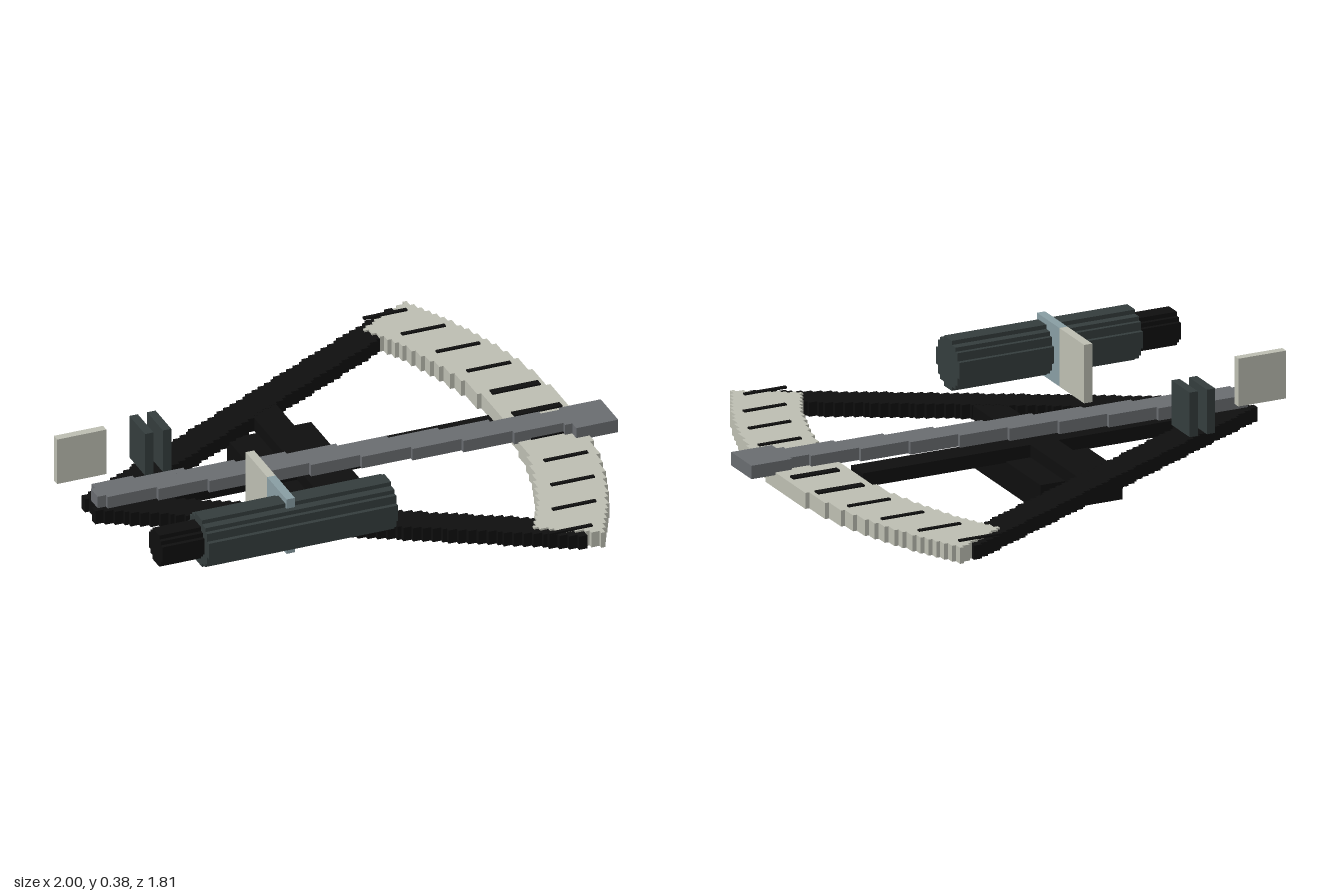
import * as THREE from 'three';
import { mergeGeometries } from 'three/addons/utils/BufferGeometryUtils.js';

const STEP = 1 / 64; // stair-step size of the blocky parts

function material(name, color) {
  const m = new THREE.MeshStandardMaterial({ color });
  m.name = name;
  return m;
}

// Box geometry from min/max extents
function boxGeo(x0, x1, y0, y1, z0, z1) {
  return new THREE.BoxGeometry(x1 - x0, y1 - y0, z1 - z0)
    .translate((x0 + x1) / 2, (y0 + y1) / 2, (z0 + z1) / 2);
}

// Scan a 2D region on the step grid and return one run per row
function rowRuns(inside, u0, u1, v0, v1) {
  const runs = [];
  for (let j = Math.floor(v0 / STEP); j < Math.ceil(v1 / STEP); j++) {
    let start = null;
    const end = Math.ceil(u1 / STEP);
    for (let i = Math.floor(u0 / STEP); i <= end; i++) {
      const hit = i < end && inside((i + 0.5) * STEP, (j + 0.5) * STEP);
      if (hit && start === null) start = i;
      if (!hit && start !== null) {
        runs.push({ u0: start * STEP, u1: i * STEP, v0: j * STEP, v1: (j + 1) * STEP });
        start = null;
      }
    }
  }
  return runs;
}

// Flat stepped plate lying in the xz plane
function steppedPlate(inside, y0, y1) {
  return mergeGeometries(rowRuns(inside, -1, 1, -0.95, 0.95)
    .map(r => boxGeo(r.u0, r.u1, y0, y1, r.v0, r.v1)));
}

// Stepped round bar along x
function steppedBar(radius, x0, x1, y, z) {
  const runs = rowRuns((u, v) => Math.hypot(u, v) < radius, -radius, radius, -radius, radius);
  return mergeGeometries(runs.map(r => boxGeo(x0, x1, r.v0, r.v1, r.u0, r.u1))).translate(0, y, z);
}

// Region test for a straight strip starting at the pivot
const PIVOT = -0.9;
function strip(angle, length, width) {
  const c = Math.cos(angle), s = Math.sin(angle);
  return (x, z) => {
    const along = (x - PIVOT) * c + z * s;
    const across = z * c - (x - PIVOT) * s;
    return along >= 0 && along <= length && Math.abs(across) <= width / 2;
  };
}

export function createModel() {
  const group = new THREE.Group();
  group.name = 'sextant';
  const black = material('black', 0x0f0f0f);
  const slate = material('dark slate', 0x353e3e);
  const grey = material('mid grey', 0x6b6e72);
  const ivory = material('ivory', 0xc0c1b5);
  const glass = material('pale blue glass', 0x8ba0a6);

  function add(name, geometry, mat) {
    const mesh = new THREE.Mesh(geometry, mat);
    mesh.name = name;
    group.add(mesh);
  }
  const box = (name, mat, ...e) => add(name, boxGeo(...e), mat);

  // Graduated arc centred on the pivot
  const deg = Math.PI / 180;
  const inArc = (x, z) => {
    const r = Math.hypot(x - PIVOT, z);
    return r > 1.56 && r < 1.805 && Math.abs(Math.atan2(z, x - PIVOT)) < 30 * deg;
  };
  add('graduatedArc', steppedPlate(inArc, 0.1, 0.16), ivory);

  // Scale marks every six degrees, bolder near the middle
  for (let a = -30; a <= 30; a += 6) {
    const x = PIVOT + 1.69 * Math.cos(a * deg), z = 1.69 * Math.sin(a * deg);
    const half = Math.abs(a) <= 6 ? 0.0145 : 0.0075;
    const reach = Math.abs(a) <= 6 ? 0.092 : 0.083;
    box('scaleMark', black, x - reach, x + reach, 0.159, 0.166, z - half, z + half);
  }

  // Frame: two slanted limbs, centre bar, cross brace
  for (const side of [1, -1]) {
    const limb = strip(side * 29 * deg, 1.75, 0.115);
    add(side > 0 ? 'frontLimb' : 'backLimb',
      steppedPlate((x, z) => limb(x, z) && !inArc(x, z), 0.1, 0.153), black);
  }
  box('centreBar', black, -0.9, 0.625, 0.1, 0.152, -0.047, 0.047);
  box('crossBrace', black, -0.145, -0.035, 0.1, 0.152, -0.47, 0.47);

  // Handle block underneath
  box('handle', black, -0.26, 0.062, 0, 0.105, -0.32, 0.32);

  // Swinging index arm with its end clamp
  add('indexArm', steppedPlate(strip(4.75 * deg, 1.76, 0.105), 0.154, 0.2), grey);
  box('armClamp', grey, 0.84, 1, 0.15, 0.2, 0.08, 0.24);

  // Telescope
  add('telescopeTube', steppedBar(0.0938, -0.74, -0.018, 0.26, 0.57), slate);
  add('eyepiece', steppedBar(0.0625, -0.9, -0.74, 0.26, 0.562), black);

  // Horizon mirror: silvered half and clear half
  box('horizonMirrorSilvered', ivory, -0.422, -0.39, 0.156, 0.375, 0.24, 0.436);
  box('horizonMirrorClear', glass, -0.422, -0.39, 0.156, 0.375, 0.436, 0.612);

  // Index mirror and sun shades
  box('indexMirror', ivory, -1, -0.812, 0.196, 0.375, -0.13, -0.1);
  for (const x of [-0.648, -0.58]) {
    box('sunShade', slate, x - 0.016, x + 0.016, 0.158, 0.325, -0.243, -0.1);
  }
  return group;
}
